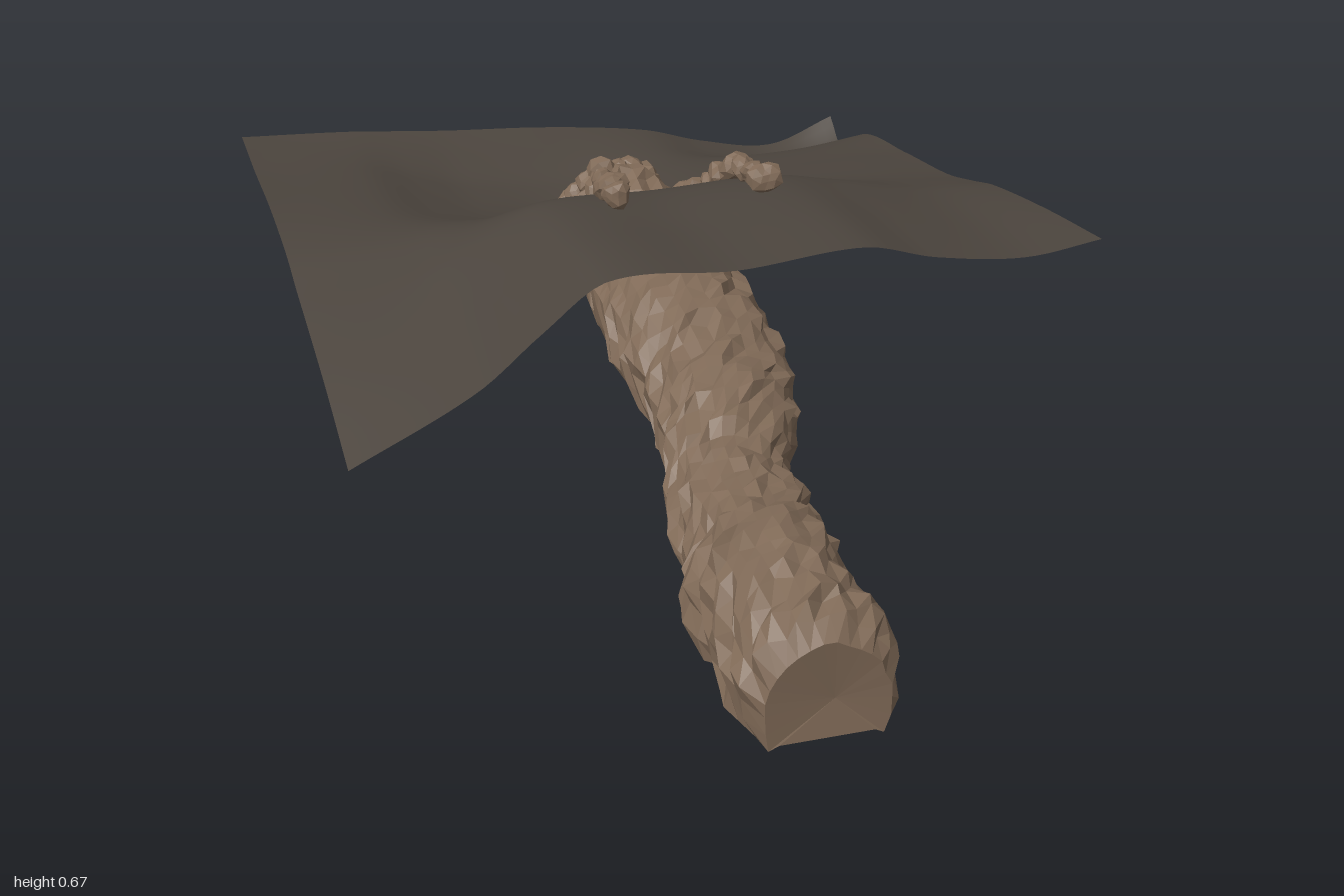
import * as THREE from 'three';

// Smooth curve through (xs, ys), sampled at x
function spline(xs, ys, x) {
  const n = xs.length;
  let i = 0;
  while (i < n - 2 && x > xs[i + 1]) i++;
  const slope = (k) => {
    const a = Math.max(k - 1, 0), b = Math.min(k + 1, n - 1);
    return (ys[b] - ys[a]) / (xs[b] - xs[a]);
  };
  const h = xs[i + 1] - xs[i], t = (x - xs[i]) / h, t2 = t * t, t3 = t2 * t;
  return (2 * t3 - 3 * t2 + 1) * ys[i] + (t3 - 2 * t2 + t) * h * slope(i)
    + (3 * t2 - 2 * t3) * ys[i + 1] + (t3 - t2) * h * slope(i + 1);
}

function seeded(seed) {
  return () => {
    seed = (seed * 1664525 + 1013904223) >>> 0;
    return seed / 4294967296;
  };
}

// Coarse hillside heights: rows run from back to front
const GX = [-0.715, -0.48, -0.36, -0.24, 0, 0.24, 0.38, 0.56, 0.715];
const GZ = [-1, -0.9, -0.78, -0.52, -0.28, -0.15, -0.05, 0.19, 0.43];
const GY = [
  [0.48, 0.47, 0.46, 0.45, 0.435, 0.405, 0.365, 0.338, 0.395],
  [0.478, 0.46, 0.44, 0.42, 0.4, 0.393, 0.36, 0.322, 0.33],
  [0.475, 0.455, 0.42, 0.39, 0.368, 0.395, 0.395, 0.4, 0.42],
  [0.48, 0.46, 0.43, 0.405, 0.375, 0.43, 0.45, 0.46, 0.46],
  [0.465, 0.48, 0.495, 0.5, 0.483, 0.505, 0.505, 0.5, 0.49],
  [0.44, 0.48, 0.53, 0.57, 0.57, 0.58, 0.56, 0.53, 0.52],
  [0.425, 0.48, 0.545, 0.605, 0.605, 0.61, 0.585, 0.55, 0.545],
  [0.385, 0.465, 0.55, 0.625, 0.615, 0.632, 0.6, 0.57, 0.58],
  [0.33, 0.45, 0.548, 0.632, 0.625, 0.642, 0.607, 0.586, 0.605],
];
const groundHeight = (x, z) => spline(GZ, GY.map((row) => spline(GX, row, x)), z);

// Tunnel profile along z: centre x, half width, floor and roof
const TZ = [-0.46, -0.36, -0.27, -0.1, 0.05, 0.2, 0.34, 0.43, 0.55, 0.63, 0.72, 0.8, 0.9, 0.96, 1];
const TX = [0.02, 0.025, 0.028, 0.035, 0.04, 0.05, 0.02, -0.015, -0.025, -0.03, -0.045, -0.04, -0.03, -0.03, -0.025];
const TW = [0.12, 0.125, 0.135, 0.152, 0.155, 0.145, 0.13, 0.115, 0.135, 0.124, 0.148, 0.136, 0.145, 0.14, 0.112];
const TB = [0.345, 0.333, 0.318, 0.28, 0.24, 0.205, 0.175, 0.155, 0.125, 0.108, 0.085, 0.063, 0.035, 0.015, 0.003];
const TT = [0.535, 0.525, 0.485, 0.465, 0.435, 0.38, 0.355, 0.3, 0.28, 0.278, 0.285, 0.275, 0.25, 0.23, 0.19];

function hillside(material) {
  const geo = new THREE.PlaneGeometry(1.43, 1.43, 64, 64).rotateX(-Math.PI / 2).translate(0, 0, -0.285);
  const p = geo.attributes.position;
  for (let i = 0; i < p.count; i++) p.setY(i, groundHeight(p.getX(i), p.getZ(i)));
  geo.computeVertexNormals();
  const mesh = new THREE.Mesh(geo, material);
  mesh.name = 'hillside';
  return mesh;
}

// Rough arched passage with feet beside a flat inset floor and a closed front end
function tunnel(material) {
  const rand = seeded(7), rings = 46, sides = 22;
  const pos = [], index = [];
  for (let i = 0; i <= rings; i++) {
    const z = 1 - (1.46 * i) / rings;
    const [cx, w, b, t] = [TX, TW, TB, TT].map((v) => spline(TZ, v, z));
    const h = t - b, end = i === 0 || i === rings;
    for (let j = 0; j < sides; j++) {
      if (j === 0 || j === sides - 1) {
        pos.push(cx + (j === 0 ? 0.76 : -0.76) * w, b + 0.008, z);
      } else {
        const a = THREE.MathUtils.degToRad(-24 + (228 * (j - 1)) / (sides - 3));
        const foot = j === 1 || j === sides - 2;
        const r = 1 + (rand() - 0.5) * (end ? 0.06 : 0.18);
        const s = Math.sin(a);
        const y = b + h * 0.36 + (s > 0 ? h * 0.64 * s * r : (h * 0.36 * s) / 0.407);
        const jitter = end ? 0 : (rand() - 0.5) * 0.026;
        const drop = foot && !end ? (rand() - 0.5) * 0.02 : 0;
        pos.push(cx + w * Math.cos(a) * r, Math.max(y + drop, 0), z + jitter);
      }
      if (i < rings) {
        const k = (j + 1) % sides, p = i * sides;
        index.push(p + j, p + sides + j, p + k, p + k, p + sides + j, p + sides + k);
      }
    }
  }
  const centre = pos.length / 3;
  pos.push(-0.01, 0.08, 0.99);
  for (let j = 0; j < sides; j++) index.push(centre, j, (j + 1) % sides);
  const geo = new THREE.BufferGeometry();
  geo.setAttribute('position', new THREE.Float32BufferAttribute(pos, 3));
  geo.setIndex(index);
  geo.computeVertexNormals();
  const mesh = new THREE.Mesh(geo, material);
  mesh.name = 'tunnel';
  return mesh;
}

// Lumpy stone: an icosahedron pushed in and out by a rule
function stone(x, y, z, r, seed, material, name) {
  const geo = new THREE.IcosahedronGeometry(r, 1);
  const p = geo.attributes.position, v = new THREE.Vector3();
  for (let i = 0; i < p.count; i++) {
    v.fromBufferAttribute(p, i);
    const d = v.clone().divideScalar(r);
    v.multiplyScalar(1 + 0.14 * Math.sin(3.1 * d.x + seed) + 0.12 * Math.sin(4.3 * d.y - 2 * d.z + seed * 2));
    p.setXYZ(i, v.x, v.y, v.z);
  }
  geo.computeVertexNormals();
  const mesh = new THREE.Mesh(geo, material);
  mesh.position.set(x, y, z);
  mesh.rotation.set(seed, seed * 1.7, 0);
  mesh.name = name;
  return mesh;
}

export function createModel() {
  const earth = new THREE.MeshStandardMaterial({ color: 0x4c453e, side: THREE.DoubleSide });
  earth.name = 'dark earth';
  const rock = new THREE.MeshStandardMaterial({ color: 0x806a57, side: THREE.DoubleSide, flatShading: true });
  rock.name = 'brown rock';

  const model = new THREE.Group();
  model.name = 'hillside cave';
  model.add(hillside(earth), tunnel(rock));

  // Two rows of stones leading up the slope, partly sunk on the steep part
  const rowZ = [-0.36, -0.3, -0.2, -0.1, 0, 0.05];
  const rows = [
    ['rightStoneRow', [-0.07, -0.07, -0.08, -0.105, -0.118, -0.12]],
    ['leftStoneRow', [0.11, 0.13, 0.155, 0.172, 0.18, 0.175]],
  ];
  rows.forEach(([name, xs], side) => {
    const row = new THREE.Group();
    row.name = name;
    for (let i = 0; i < 9; i++) {
      const z = 0.04 - i * 0.05;
      const x = spline(rowZ, xs, z) + 0.006 * Math.sin(i * 2.4 + side);
      const r = 0.028 + 0.004 * Math.sin(i * 1.9 + side * 2);
      const lift = z > -0.13 ? 0.026 : 0.013;
      row.add(stone(x, groundHeight(x, z) + lift, z, r, i + side * 11, rock, 'rowStone'));
    }
    model.add(row);
  });

  // Arch of stones around the cave mouth, leaning back into the slope
  const arch = new THREE.Group();
  arch.name = 'mouthArch';
  for (let i = 0; i < 11; i++) {
    const a = (Math.PI * i) / 10, s = Math.sin(a);
    const r = 0.032 + 0.005 * Math.sin(i * 2.3);
    arch.add(stone(0.015 + 0.1 * Math.cos(a), 0.395 + 0.12 * s, -0.47 + 0.035 * s, r, i + 30, rock, 'archStone'));
  }
  model.add(arch);
  return model;
}
